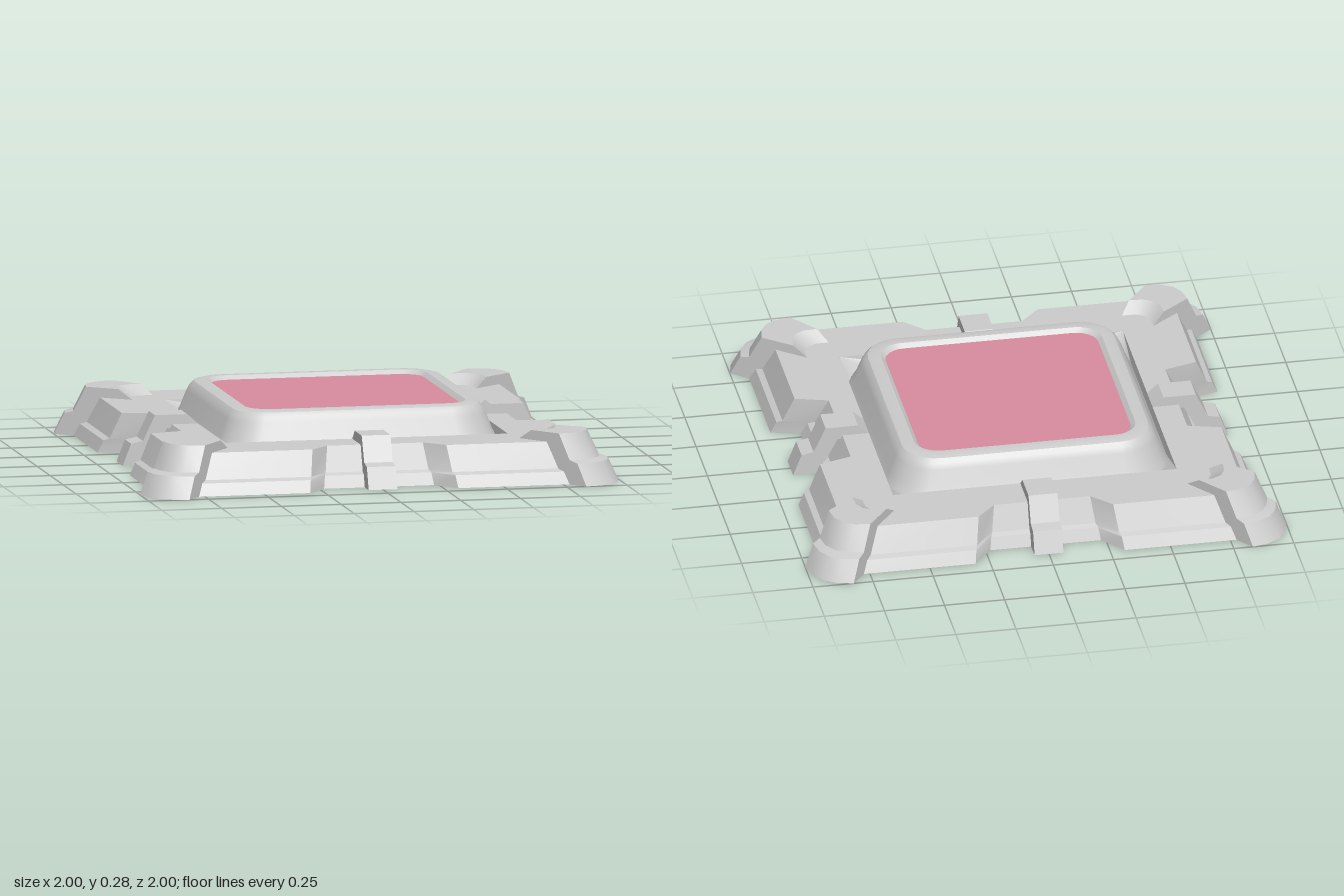
import * as THREE from 'three';
import { toCreasedNormals } from 'three/addons/utils/BufferGeometryUtils.js';

const grey = new THREE.MeshStandardMaterial({ color: 0xcccccc, side: THREE.DoubleSide });
const pink = new THREE.MeshStandardMaterial({ color: 0xd98c9f, side: THREE.DoubleSide });
const DECK = 0.165;

// Skin between successive closed rings of [x, y, z]; caps lists triangles for the two ends
function loft(rings, caps = []) {
  const n = rings[0].length, index = [], last = (rings.length - 1) * n;
  for (let i = 0; i < rings.length - 1; i++) {
    for (let j = 0; j < n; j++) {
      const a = i * n + j, b = i * n + (j + 1) % n;
      index.push(a, b, b + n, a, b + n, a + n);
    }
  }
  for (const [a, b, c] of caps) index.push(c, b, a, last + a, last + b, last + c);
  const g = new THREE.BufferGeometry();
  g.setAttribute('position', new THREE.Float32BufferAttribute(rings.flat(2), 3));
  g.setIndex(index);
  return toCreasedNormals(g, 0.5);
}

// Mirror a first-quadrant run of [x, v] points into a full loop
function fourfold(q) {
  const back = [...q].reverse();
  return [
    ...q,
    ...back.map(([x, v]) => [-x, v]),
    ...q.map(([x, v]) => [-x, -v]),
    ...back.map(([x, v]) => [x, -v]),
  ];
}

function corner(h, r, steps = 6) {
  return Array.from({ length: steps + 1 }, (_, i) => {
    const a = (i / steps) * Math.PI / 2;
    return [h - r + r * Math.cos(a), h - r + r * Math.sin(a)];
  });
}

const atHeight = (loop, y) => loop.map(([x, v]) => [x, y, -v]);
const roundedSquare = (h, r) => fourfold(corner(h, r));

// Notched plan of the base, from the foot (t = 0) to the deck edge (t = 1)
function basePlan(t) {
  const mix = (a, b) => a + (b - a) * t;
  const out = mix(0.93, 0.835);
  return fourfold([
    [mix(0.81, 0.70), mix(0.28, 0.24)],
    [out, mix(0.31, 0.28)],
    ...corner(out, 0.14, 5),
    [mix(0.31, 0.28), out],
    [mix(0.23, 0.20), mix(0.83, 0.75)],
  ]);
}

// Sweep an [outward, height] profile; place(e, u) gives [x, z] for u from 1 to -1
function bracket(profile, steps, place) {
  const rings = [];
  for (let i = 0; i <= steps; i++) {
    const u = 1 - (2 * i) / steps;
    rings.push(profile.map(([e, y]) => {
      const [x, z] = place(e, u);
      return [x, y, z];
    }));
  }
  const contour = profile.map(([e, y]) => new THREE.Vector2(e, y));
  return loft(rings, THREE.ShapeUtils.triangulateShape(contour, []));
}

export function createModel() {
  const model = new THREE.Group();
  const add = (name, geometry, material = grey) => {
    const mesh = new THREE.Mesh(geometry, material);
    mesh.name = name;
    model.add(mesh);
    return mesh;
  };
  const toVectors = (loop) => loop.map(([x, v]) => new THREE.Vector2(x, v));

  // Stepped, sloping wall around the base
  const layers = [[0, 0], [0.05, 0.25], [0.06, 0.5], [DECK, 1]];
  add('baseWall', loft(layers.map(([y, t]) => atHeight(basePlan(t), y))));

  // Flat deck with a square opening
  const deckShape = new THREE.Shape(toVectors(basePlan(1)));
  deckShape.holes.push(new THREE.Path(toVectors([[-0.59, -0.59], [-0.59, 0.59], [0.59, 0.59], [0.59, -0.59]])));
  const deck = add('deck', new THREE.ShapeGeometry(deckShape).rotateX(-Math.PI / 2));
  deck.position.y = DECK;

  // Raised centre with sunken corners, rounded shoulder and inner lip: [half width, radius, y]
  const hull = [
    [0.59, 0.005, DECK], [0.585, 0.19, 0.125], [0.565, 0.18, DECK], [0.54, 0.165, 0.232],
    [0.528, 0.155, 0.256], [0.512, 0.14, 0.272], [0.49, 0.125, 0.278],
    [0.46, 0.1, 0.278], [0.442, 0.09, 0.262],
  ];
  add('raisedCentre', loft(hull.map(([h, r, y]) => atHeight(roundedSquare(h, r), y))));

  // Coloured panel inside the lip
  const panelShape = new THREE.Shape(toVectors(roundedSquare(0.442, 0.09)));
  const panel = add('panel', new THREE.ShapeGeometry(panelShape).rotateX(-Math.PI / 2), pink);
  panel.position.y = 0.262;

  // Curved corner guards wrapping the base
  const guardProfile = [
    [1, 0], [0.962, 0.09], [0.93, 0.1], [0.885, 0.205], [0.77, 0.205],
    [0.72, DECK], [0.72, 0.15], [0.82, 0.15], [0.915, 0],
  ];
  const guard = bracket(guardProfile, 4, (e, u) => {
    const s = 0.61 + (e - 0.72) * 0.786;
    const mid = (e + s) / 2 + 0.035 * (1 - u * u), half = (e - s) / 2;
    return [mid + half * u, mid - half * u];
  });

  // Narrow clips in the middle of each side
  const clipProfile = [
    [0.905, 0], [0.87, 0.09], [0.82, 0.1], [0.77, 0.205], [0.635, 0.205],
    [0.59, DECK], [0.59, 0.15], [0.72, 0.15], [0.80, 0],
  ];
  const clip = bracket(clipProfile, 1, (e, u) => [0.06 * u, e]);

  for (let k = 0; k < 4; k++) {
    add('cornerGuard', guard).rotation.y = k * Math.PI / 2;
    add('sideClip', clip).rotation.y = k * Math.PI / 2;
  }
  return model;
}
